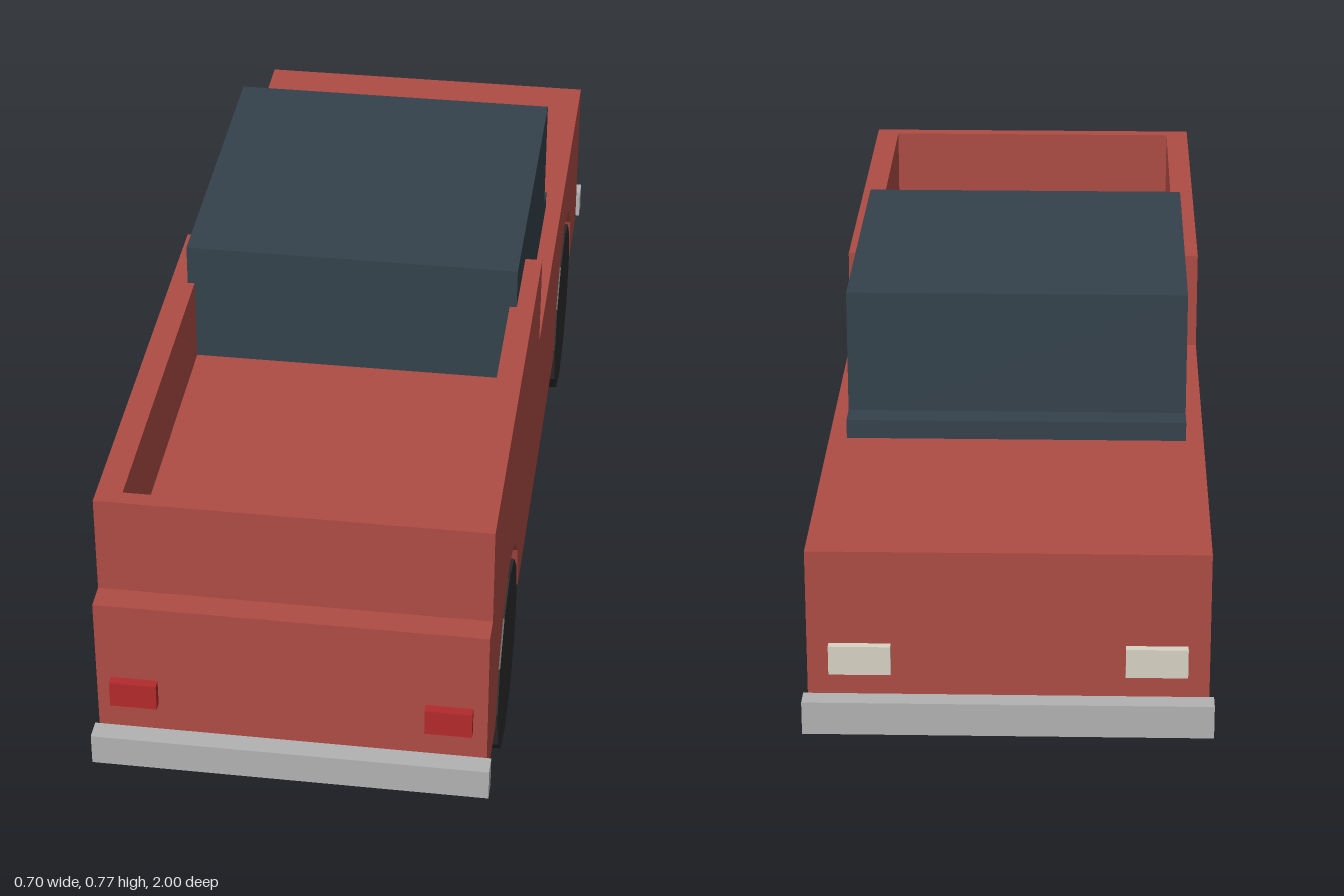
import * as THREE from 'three';

const mat = (color) => new THREE.MeshStandardMaterial({ color, flatShading: true });

export function createModel() {
  const truck = new THREE.Group();
  truck.name = 'pickupTruck';
  const paint = mat(0xae4c44), glass = mat(0x34424c), rubber = mat(0x2c2c2c);
  const chrome = mat(0xb2b2b2), red = mat(0xb32a2c), lamp = mat(0xd8d4c4);

  const add = (name, geometry, material) => {
    const mesh = new THREE.Mesh(geometry, material);
    mesh.name = name;
    truck.add(mesh);
    return mesh;
  };
  // Box given by its limits on each axis
  const box = (name, material, [x0, x1], [y0, y1], [z0, z1]) =>
    add(name, new THREE.BoxGeometry(x1 - x0, y1 - y0, z1 - z0), material)
      .position.set((x0 + x1) / 2, (y0 + y1) / 2, (z0 + z1) / 2);

  const W = 0.34, L = 0.963, sill = 0.178, deck = 0.505, rail = 0.69;
  const axle = 0.595, wheelR = 0.176, archR = 0.205;

  // Lower body: side profile with faceted wheel arches, extruded across the width
  const profile = [[-L, sill]];
  for (const c of [-axle, axle]) {
    for (let i = 0; i <= 6; i++) {
      const a = Math.PI * (1 - i / 6);
      profile.push([c + archR * Math.cos(a), sill + archR * Math.sin(a)]);
    }
  }
  profile.push([L, sill], [L, deck], [-L, deck]);
  const shape = new THREE.Shape(profile.map(([z, y]) => new THREE.Vector2(z, y)));
  const body = new THREE.ExtrudeGeometry(shape, { depth: 2 * W, bevelEnabled: false });
  body.translate(0, 0, -W).rotateY(-Math.PI / 2);
  add('body', body, paint);

  // Cargo bed: floor, two side walls and tailgate
  box('bedFloor', paint, [-0.295, 0.295], [deck, 0.53], [0.06, 0.885]);
  box('bedWallLeft', paint, [0.295, W], [deck, rail], [0.05, 0.915]);
  box('bedWallRight', paint, [-W, -0.295], [deck, rail], [0.05, 0.915]);
  box('tailgate', paint, [-0.295, 0.295], [deck, rail], [0.885, 0.915]);

  // Cab and the low cowl ahead of it
  box('cab', glass, [-0.308, 0.308], [deck, 0.767], [-0.405, 0.22]);
  box('cowl', glass, [-0.308, 0.308], [deck, 0.54], [-0.455, -0.405]);

  // Bumpers
  box('tailBumper', chrome, [-0.348, 0.348], [0.184, 0.243], [L, 1]);
  box('noseBumper', chrome, [-0.348, 0.348], [0.184, 0.243], [-1, -L]);

  // Lights and wheels, mirrored left and right
  for (const s of [-1, 1]) {
    const side = s > 0 ? 'Left' : 'Right';
    const span = (a, b) => (s > 0 ? [a, b] : [-b, -a]);
    box('tailLight' + side, red, span(0.233, 0.315), [0.3, 0.35], [L, 0.98]);
    box('headlight' + side, lamp, span(0.198, 0.303), [0.285, 0.337], [-0.978, -L]);
    for (const z of [-axle, axle]) {
      const wheel = new THREE.CylinderGeometry(wheelR, wheelR, 0.088, 12).rotateZ(Math.PI / 2);
      add((z > 0 ? 'tailWheel' : 'noseWheel') + side, wheel, rubber)
        .position.set(s * 0.297, wheelR, z);
    }
  }
  return truck;
}
